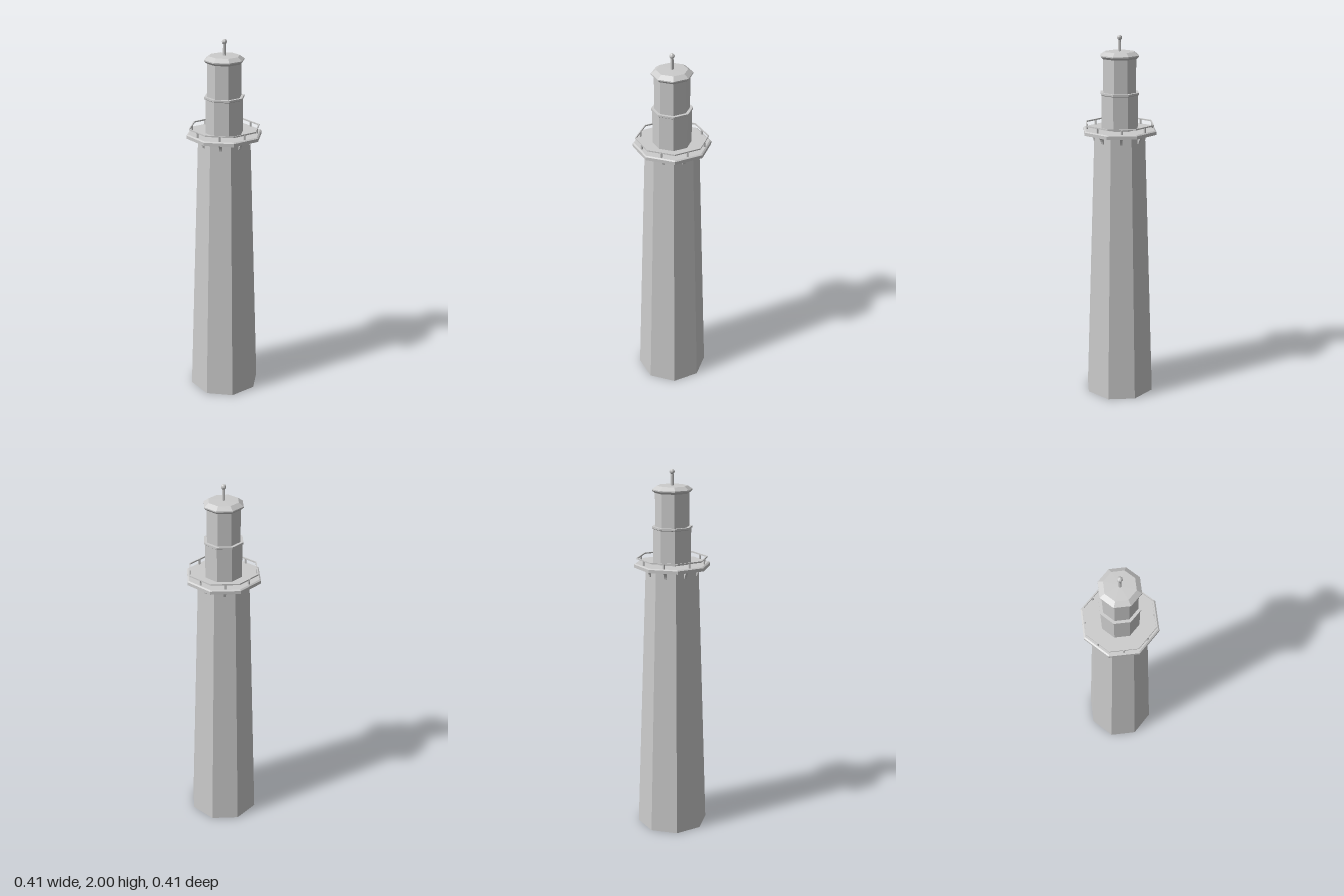
import * as THREE from 'three';

const SIDES = 8;
const EDGE = Math.cos(Math.PI / SIDES); // corner radius to flat radius
const material = new THREE.MeshStandardMaterial({ color: 0xcccccc, flatShading: true });

function addMesh(parent, name, geometry) {
  const mesh = new THREE.Mesh(geometry, material);
  mesh.name = name;
  parent.add(mesh);
  return mesh;
}

// Turned solid from [radius, height] points, listed from bottom to top
function turned(parent, name, points, sides = SIDES) {
  const profile = points.map(([r, y]) => new THREE.Vector2(r, y));
  return addMesh(parent, name, new THREE.LatheGeometry(profile, sides));
}

export function createModel() {
  const model = new THREE.Group();
  model.name = 'lighthouse';

  // Tapered octagonal tower
  turned(model, 'tower', [[0, 0], [0.195, 0], [0.143, 1.485], [0, 1.485]]);

  // Gallery deck with a slightly bevelled rim
  turned(model, 'galleryDeck', [[0, 1.484], [0.205, 1.484], [0.205, 1.501], [0.197, 1.506], [0, 1.506]]);

  // Watch room, its cornice and the lantern room
  turned(model, 'watchRoom', [[0, 1.504], [0.102, 1.504], [0.102, 1.69], [0, 1.69]]);
  turned(model, 'cornice', [[0, 1.688], [0.102, 1.688], [0.108, 1.692], [0.108, 1.702], [0, 1.702]]);
  turned(model, 'lanternRoom', [[0, 1.7], [0.092, 1.7], [0.092, 1.885], [0, 1.885]]);

  // Bevelled roof cap, spindle and ball
  turned(model, 'roof', [[0, 1.878], [0.094, 1.878], [0.107, 1.89], [0.107, 1.896], [0.081, 1.914], [0, 1.916]]);
  turned(model, 'spindle', [[0, 1.91], [0.009, 1.91], [0.008, 1.98], [0, 1.98]]);
  const ball = addMesh(model, 'finialBall', new THREE.SphereGeometry(0.014, 8, 6));
  ball.position.y = 1.986;

  // Thin octagonal handrail
  turned(model, 'handrail', [[0.186, 1.529], [0.192, 1.529], [0.192, 1.536], [0.186, 1.536], [0.186, 1.529]]);

  // One rail post and one deck bracket in the middle of every side
  const postGeometry = new THREE.CylinderGeometry(0.006, 0.006, 0.028, 6);
  const bracketShape = new THREE.Shape();
  bracketShape.moveTo(0.125, 1.486);
  bracketShape.lineTo(0.125, 1.442);
  bracketShape.lineTo(0.138, 1.442);
  bracketShape.quadraticCurveTo(0.143, 1.468, 0.166, 1.486);
  const bracketGeometry = new THREE.ExtrudeGeometry(bracketShape, { depth: 0.014, bevelEnabled: false, curveSegments: 4 });
  bracketGeometry.translate(0, 0, -0.007);

  for (let i = 0; i < SIDES; i++) {
    const side = new THREE.Group();
    side.name = 'gallerySide' + (i + 1);
    side.rotation.y = ((i + 0.5) / SIDES) * Math.PI * 2;
    const post = addMesh(side, 'railPost', postGeometry);
    post.position.set(0.189 * EDGE, 1.518, 0);
    addMesh(side, 'deckBracket', bracketGeometry);
    model.add(side);
  }
  return model;
}
